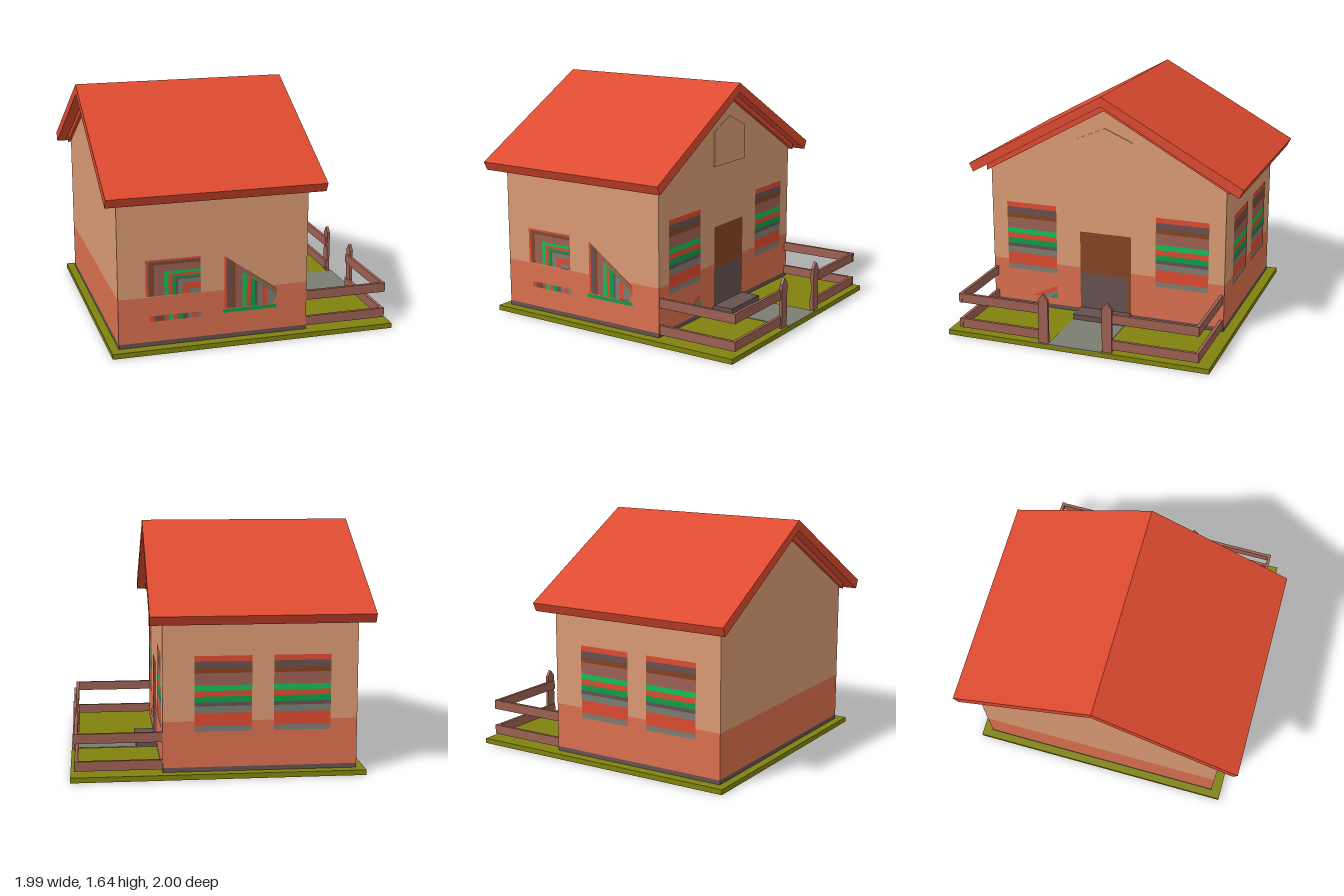
import * as THREE from 'three';

const mat = (name, color) => {
  const m = new THREE.MeshStandardMaterial({ color });
  m.name = name;
  return m;
};

export function createModel() {
  const house = new THREE.Group();
  house.name = 'house';

  const roofRed = mat('roofRed', 0xdc4a2f);
  const plaster = mat('plaster', 0xd99a74);
  const lowerPaint = mat('lowerPaint', 0xd96f4e);
  const darkStone = mat('darkStone', 0x655150);
  const brown = mat('doorBrown', 0x844322);
  const wood = mat('fenceWood', 0x9c6052);
  const grass = mat('grass', 0x80820e);
  const paving = mat('pavingGrey', 0x7b7d72);
  const green = mat('green', 0x0f9c48);
  const brightGreen = mat('brightGreen', 0x14bd58);

  const add = (name, geometry, material, parent = house) => {
    const mesh = new THREE.Mesh(geometry, material);
    mesh.name = name;
    parent.add(mesh);
    return mesh;
  };
  const toShape = (points) => new THREE.Shape(points.map(([x, y]) => new THREE.Vector2(x, y)));

  // Box given by its min and max along each axis
  const box = (name, material, [x0, x1], [y0, y1], [z0, z1], parent) => {
    const g = new THREE.BoxGeometry(x1 - x0, y1 - y0, z1 - z0);
    g.translate((x0 + x1) / 2, (y0 + y1) / 2, (z0 + z1) / 2);
    return add(name, g, material, parent);
  };

  // Profile of [z, y] points swept along x
  const sweepX = (name, material, points, x0, x1, parent) => {
    const g = new THREE.ExtrudeGeometry(toShape(points.map(([z, y]) => [-z, y])), {
      depth: x1 - x0, bevelEnabled: false,
    });
    g.rotateY(Math.PI / 2);
    g.translate(x0, 0, 0);
    return add(name, g, material, parent);
  };

  // Flat painted face, lifted slightly off its wall
  const paint = (name, material, points, lift, parent) => {
    const g = new THREE.ShapeGeometry(toShape(points));
    g.translate(0, 0, lift);
    return add(name, g, material, parent);
  };
  const rect = (x0, x1, y0, y1) => [[x0, y0], [x1, y0], [x1, y1], [x0, y1]];

  // Ground, path and step
  box('lawn', grass, [-0.965, 0.99], [0, 0.035], [-0.935, 0.935]);
  box('path', paving, [0.38, 0.99], [0.03, 0.039], [-0.19, 0.19]);
  box('doorStep', darkStone, [0.38, 0.535], [0.03, 0.075], [-0.19, 0.19]);

  // Walls
  const X = [-0.91, 0.385];
  const Z = [-0.865, 0.865];
  box('foundation', darkStone, X, [0.03, 0.065], Z);
  box('lowerWall', lowerPaint, X, [0.065, 0.375], Z);
  sweepX('upperWall', plaster, [
    [-0.865, 0.375], [0.865, 0.375], [0.865, 1.054], [0, 1.53], [-0.865, 1.054],
  ], X[0], X[1]);

  // Roof slab and the narrower layer beneath it
  sweepX('roof', roofRed, [
    [0, 1.64], [1, 1.09], [0.97, 1.03], [0, 1.572], [-0.97, 1.03], [-1, 1.09],
  ], -1, 0.47);
  sweepX('roofUnderlay', roofRed, [
    [0, 1.575], [0.89, 1.085], [0.89, 1.035], [0, 1.53], [-0.89, 1.035], [-0.89, 1.085],
  ], -0.93, 0.41);

  // Local frames for the three decorated walls: local x runs right, local z out
  const wall = (name, angle, x, z) => {
    const g = new THREE.Group();
    g.name = name;
    g.rotation.y = angle;
    g.position.set(x, 0, z);
    house.add(g);
    return g;
  };
  const frontWall = wall('frontWallDetails', 0, 0, 0.865);
  const rightWall = wall('doorWallDetails', Math.PI / 2, 0.385, 0);
  const backWall = wall('backWallDetails', Math.PI, 0, -0.865);

  // Striped windows, colours from the top down
  const colours = [roofRed, darkStone, brown, wood, brightGreen, roofRed, green,
    darkStone, paving, roofRed, paving];
  const levels = [0.81, 0.773, 0.73, 0.695, 0.615, 0.577, 0.54, 0.5, 0.475, 0.43, 0.342, 0.305];
  const stripedWindow = (x0, x1, parent) => {
    const g = new THREE.Group();
    g.name = 'stripedWindow';
    parent.add(g);
    colours.forEach((c, i) =>
      paint('windowStripe', c, rect(x0, x1, levels[i + 1], levels[i]), 0.003, g));
  };
  for (const s of [-1, 1]) {
    stripedWindow(s * 0.56 - 0.19, s * 0.56 + 0.19, rightWall);
  }
  stripedWindow(-0.175, 0.205, backWall);
  stripedWindow(0.35, 0.73, backWall);

  // Front windows: nested layers stepping in from the left and the top
  const squareLeft = [-0.725, -0.708, -0.695, -0.67, -0.602, -0.573, -0.547, -0.525, -0.512, -0.475, -0.43];
  const squareTop = [0.627, 0.614, 0.604, 0.592, 0.545, 0.525, 0.508, 0.495, 0.485, 0.455, 0.415];
  const slantLeft = [-0.192, -0.176, -0.14, -0.118, -0.07, -0.04, -0.012, 0.018, 0.035, 0.07, 0.1];
  const slantTop = [0.61, 0.598, 0.573, 0.558, 0.49, 0.465, 0.445, 0.425, 0.412, 0.385, 0.36];
  colours.forEach((c, i) => {
    const lift = 0.001 + i * 0.0007;
    paint('squareWindowLayer', c, rect(squareLeft[i], -0.357, 0.38, squareTop[i]), lift, frontWall);
    paint('slantedWindowLayer', c, [
      [slantLeft[i], 0.245], [0.14, 0.245], [0.17, 0.3],
      [0.17, 0.355 - i * 0.004], [slantLeft[i], slantTop[i]],
    ], lift, frontWall);
    // Sill chips below the square window
    const x = -0.7 + i * 0.032;
    paint('sillChip', c, rect(x, x + 0.032, 0.205, 0.243), 0.002, frontWall);
  });
  paint('slantedWindowSill', green, rect(-0.205, 0.172, 0.215, 0.24), 0.003, frontWall);

  // Small slanted patch low on the door wall
  [[roofRed, 0.21], [paving, 0.18], [green, 0.15]].forEach(([c, top], i) =>
    paint('lowPatch', c, [[-0.57 + i * 0.07, 0.115], [-0.37, 0.115], [-0.37, top]],
      0.002 + i * 0.001, rightWall));

  // Door and attic hatch
  paint('door', brown, rect(-0.19, 0.19, 0.065, 0.645), 0.003, rightWall);
  paint('doorLowerPanel', darkStone, rect(-0.19, 0.17, 0.065, 0.34), 0.005, rightWall);
  const hatch = new THREE.ExtrudeGeometry(toShape([
    [-0.2, 1.075], [0.2, 1.075], [0.2, 1.32], [0, 1.405], [-0.2, 1.32],
  ]), { depth: 0.008, bevelEnabled: false });
  add('atticHatch', hatch, plaster, rightWall);

  // Fence, mirrored on both sides of the path
  for (const s of [-1, 1]) {
    const fence = new THREE.Group();
    fence.name = s > 0 ? 'frontFence' : 'backFence';
    house.add(fence);
    const span = (a, b) => (s > 0 ? [a, b] : [-b, -a]);
    for (const y of [[0.055, 0.12], [0.24, 0.305]]) {
      box('sideRail', wood, [0.38, 0.965], y, span(0.835, 0.857), fence);
      box('endRail', wood, [0.94, 0.962], y, span(0.2, 0.857), fence);
    }
    sweepX('gatePost', wood, [
      [s * 0.193, 0.035], [s * 0.263, 0.035], [s * 0.263, 0.345],
      [s * 0.228, 0.388], [s * 0.193, 0.345],
    ], 0.952, 0.972, fence);
  }

  return house;
}
